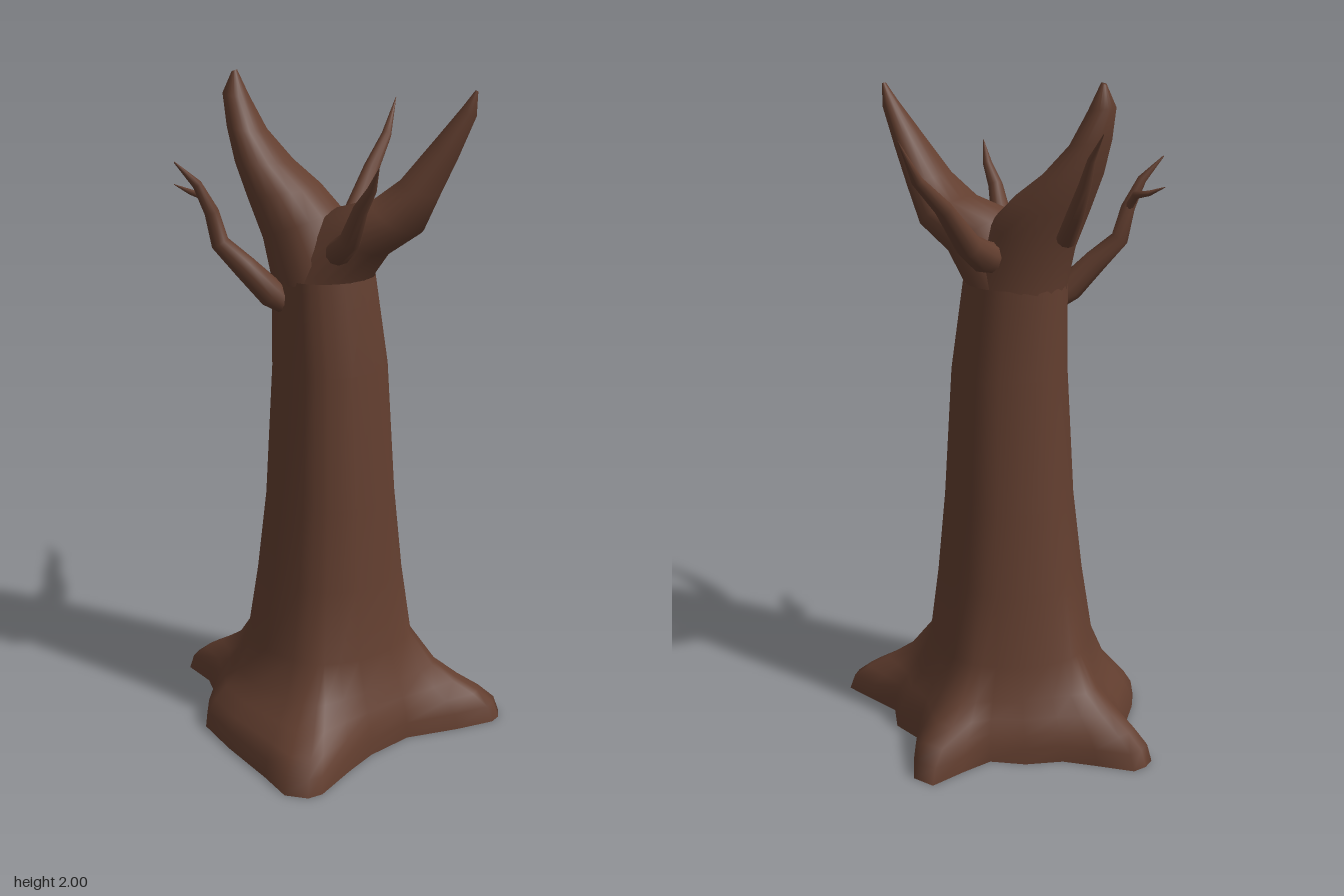
import * as THREE from 'three';

const bark = new THREE.MeshStandardMaterial({ color: 0x623e2f, side: THREE.DoubleSide });
bark.name = 'bark';

// Skin a stack of closed rings (arrays of Vector3) with smooth normals
function loft(name, rings, capEnd = true) {
  const n = rings[0].length, pos = [], idx = [];
  rings.forEach(r => r.forEach(p => pos.push(p.x, p.y, p.z)));
  for (let i = 0; i < rings.length - 1; i++) {
    for (let j = 0; j < n; j++) {
      const a = i * n + j, b = i * n + (j + 1) % n;
      idx.push(a, a + n, b, b, a + n, b + n);
    }
  }
  if (capEnd) {
    const last = rings[rings.length - 1], base = (rings.length - 1) * n;
    const c = last.reduce((s, p) => s.add(p), new THREE.Vector3()).divideScalar(n);
    pos.push(c.x, c.y, c.z);
    for (let j = 0; j < n; j++) idx.push(base + j, rings.length * n, base + (j + 1) % n);
  }
  const g = new THREE.BufferGeometry();
  g.setAttribute('position', new THREE.Float32BufferAttribute(pos, 3));
  g.setIndex(idx);
  g.computeVertexNormals();
  const mesh = new THREE.Mesh(g, bark);
  mesh.name = name;
  return mesh;
}

// Ellipse ring around centre c spanned by half axes u and v
function ellipse(c, u, v, n) {
  return Array.from({ length: n }, (_, i) => {
    const t = i / n * Math.PI * 2;
    return c.clone().addScaledVector(u, Math.cos(t)).addScaledVector(v, Math.sin(t));
  });
}

// Limb from rows of [leftX, leftY, rightX, rightY, half depth]
function limb(name, rows) {
  return loft(name, rows.map(([lx, ly, rx, ry, d]) => ellipse(
    new THREE.Vector3((lx + rx) / 2, (ly + ry) / 2, 0),
    new THREE.Vector3((rx - lx) / 2, (ry - ly) / 2, 0),
    new THREE.Vector3(0, 0, d), 20)));
}

// Tapered twig from rows of [x, y, z, radius]
function twig(name, rows) {
  const pts = rows.map(r => new THREE.Vector3(r[0], r[1], r[2]));
  const zAxis = new THREE.Vector3(0, 0, 1);
  return loft(name, pts.map((p, i) => {
    const t = pts[Math.min(i + 1, pts.length - 1)].clone().sub(pts[Math.max(i - 1, 0)]).normalize();
    const u = t.clone().cross(zAxis).normalize();
    const v = u.clone().cross(t);
    return ellipse(p, u.multiplyScalar(rows[i][3]), v.multiplyScalar(rows[i][3]), 10);
  }));
}

// Ground outline of the root flare, [x, z], running back, left, front, right
const foot = [
  [-0.03, -0.505], [0.04, -0.5], [0.1, -0.41], [0.15, -0.31], [0.25, -0.28], [0.31, -0.205],
  [0.42, -0.182], [0.52, -0.16], [0.53, -0.12], [0.52, -0.085], [0.43, 0], [0.3, 0.105],
  [0.23, 0.24], [0.2, 0.35], [0.17, 0.49], [0.14, 0.525], [0.07, 0.535], [-0.02, 0.47],
  [-0.19, 0.36], [-0.31, 0.27], [-0.34, 0.2], [-0.375, 0.07], [-0.43, 0], [-0.53, -0.06],
  [-0.53, -0.1], [-0.51, -0.14], [-0.4, -0.17], [-0.3, -0.2], [-0.21, -0.27], [-0.11, -0.31],
  [-0.07, -0.4]
];

// Trunk sections: [y, centre x, radius, share of root outline]
const trunkRows = [
  [0, 0, 0.3, 1], [0.05, 0, 0.29, 0.93], [0.09, 0, 0.285, 0.74], [0.13, 0, 0.28, 0.48],
  [0.18, 0, 0.265, 0.25], [0.28, -0.005, 0.247, 0.05], [0.5, 0, 0.222, 0.01],
  [0.75, 0.003, 0.197, 0], [1.15, 0.002, 0.173, 0], [1.42, -0.018, 0.153, 0]
];

export function createModel() {
  const tree = new THREE.Group();
  tree.name = 'bareTree';

  // Hollow trunk, open at the ground
  tree.add(loft('trunkAndRoots', trunkRows.map(([y, cx, r, w]) => foot.map(([x, z]) => {
    const len = Math.hypot(x, z), s = (r * (1 - w) + len * w) / len;
    return new THREE.Vector3(cx + x * s, y, z * s);
  })), false));

  // Two main forks
  tree.add(limb('rightLimb', [
    [-0.17, 1.4, 0.132, 1.42, 0.152], [-0.195, 1.52, 0.03, 1.61, 0.14],
    [-0.245, 1.64, -0.035, 1.675, 0.125], [-0.285, 1.74, -0.12, 1.74, 0.1],
    [-0.312, 1.84, -0.2, 1.825, 0.07], [-0.328, 1.93, -0.25, 1.92, 0.04],
    [-0.3, 1.99, -0.285, 1.995, 0.01]
  ]));
  tree.add(limb('leftLimb', [
    [-0.168, 1.41, 0.132, 1.42, 0.152], [0, 1.61, 0.18, 1.49, 0.135],
    [0.14, 1.65, 0.28, 1.56, 0.115], [0.22, 1.71, 0.33, 1.67, 0.088],
    [0.32, 1.83, 0.378, 1.77, 0.055], [0.39, 1.915, 0.43, 1.89, 0.025],
    [0.425, 1.96, 0.433, 1.957, 0.008]
  ]));

  // Thin side twigs
  tree.add(twig('frontRightTwig', [
    [-0.09, 1.34, 0.1, 0.03], [-0.125, 1.38, 0.135, 0.042], [-0.19, 1.46, 0.175, 0.035],
    [-0.255, 1.53, 0.2, 0.027], [-0.272, 1.62, 0.215, 0.021], [-0.3, 1.7, 0.245, 0.014],
    [-0.347, 1.765, 0.287, 0.002]
  ]));
  tree.add(twig('frontRightTwigFork', [
    [-0.27, 1.61, 0.21, 0.013], [-0.3, 1.66, 0.205, 0.012], [-0.345, 1.67, 0.2, 0.008],
    [-0.39, 1.69, 0.21, 0.001]
  ]));
  tree.add(twig('frontLeftTwig', [
    [0.05, 1.49, 0.09, 0.03], [0.08, 1.515, 0.13, 0.038], [0.125, 1.555, 0.165, 0.032],
    [0.17, 1.65, 0.205, 0.022], [0.21, 1.71, 0.225, 0.014], [0.24, 1.775, 0.252, 0.001]
  ]));
  tree.add(twig('backRightTwig', [
    [-0.22, 1.57, -0.07, 0.028], [-0.27, 1.65, -0.115, 0.025], [-0.31, 1.74, -0.135, 0.018],
    [-0.335, 1.81, -0.15, 0.011], [-0.385, 1.885, -0.18, 0.001]
  ]));
  tree.add(twig('backTwig', [
    [-0.01, 1.5, -0.1, 0.045], [-0.01, 1.52, -0.17, 0.046], [-0.005, 1.56, -0.235, 0.038],
    [0.005, 1.68, -0.345, 0.025], [0.015, 1.77, -0.455, 0.016], [0.02, 1.88, -0.53, 0.001]
  ]));
  return tree;
}
